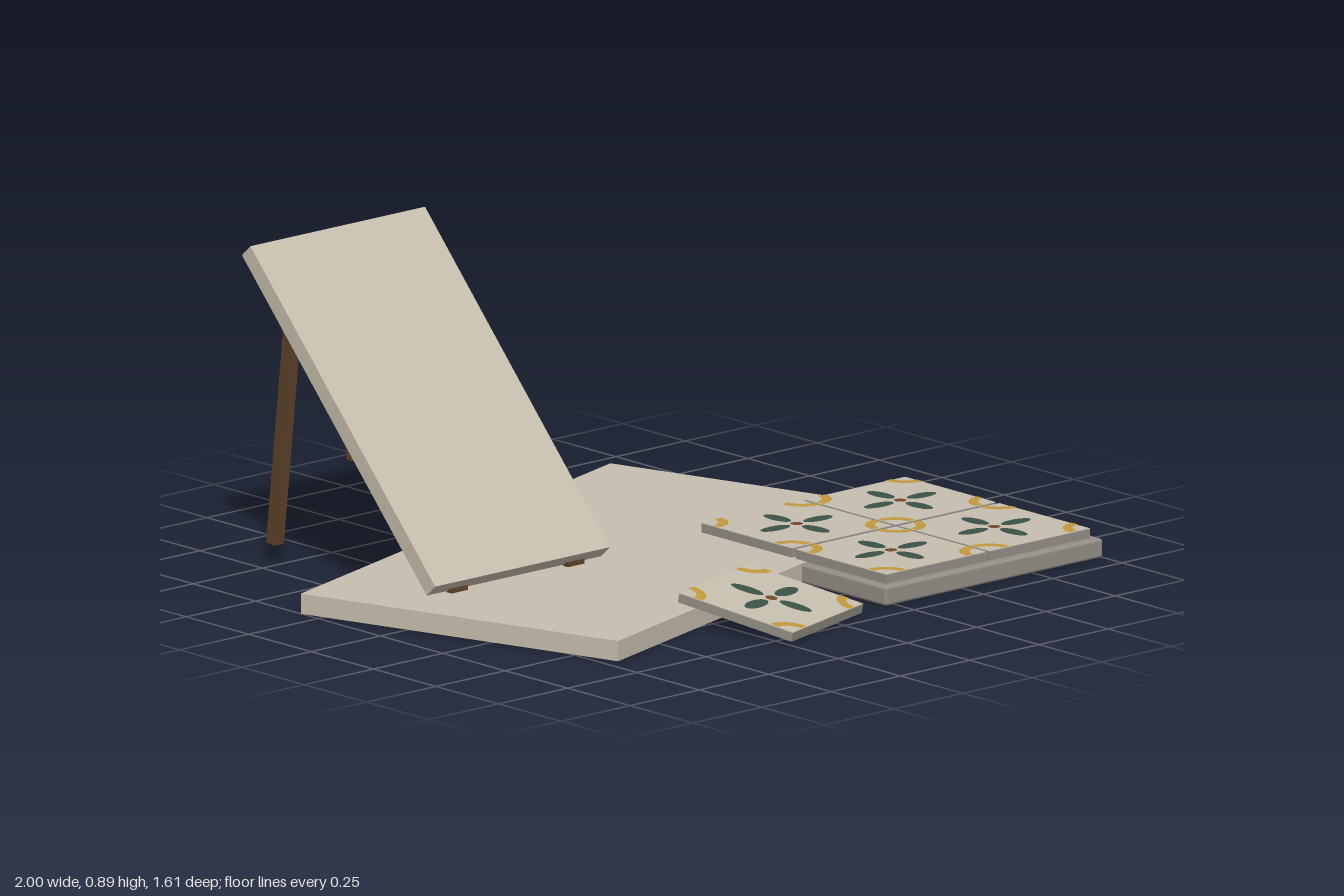
import * as THREE from 'three';
import { RoundedBoxGeometry } from 'three/addons/geometries/RoundedBoxGeometry.js';

const mat = (name, color) => {
  const m = new THREE.MeshStandardMaterial({ color });
  m.name = name;
  return m;
};

export function createModel() {
  const stone = mat('cream stone', 0xc6beae);
  const mortar = mat('grey mortar', 0x948f87);
  const green = mat('leaf green', 0x3b5146);
  const ochre = mat('ochre', 0xc1983f);
  const brown = mat('brown dot', 0x70492a);
  const wood = mat('dark wood', 0x5c4329);

  const model = new THREE.Group();
  model.name = 'tileDisplay';

  const add = (parent, name, geometry, material, x = 0, y = 0, z = 0) => {
    const mesh = new THREE.Mesh(geometry, material);
    mesh.name = name;
    mesh.position.set(x, y, z);
    parent.add(mesh);
    return mesh;
  };
  const box = (w, h, d) => new THREE.BoxGeometry(w, h, d);

  // Large slab lying flat, turned a little
  const slab = add(model, 'baseSlab', box(1.62, 0.056, 0.99), stone, -0.08, 0.028, -0.085);
  slab.rotation.y = 0.3;

  // Mortar bed under the four laid tiles
  add(model, 'mortarBed', new RoundedBoxGeometry(0.785, 0.053, 0.785, 2, 0.008), mortar, 0.605, 0.0275, 0.285);

  // Patterned tile: grey body, cream face, four leaves, centre dot and corner arcs
  const size = 0.362, half = size / 2, top = 0.0135;
  const flat = (g) => g.rotateX(-Math.PI / 2);
  const bodyGeo = box(size, 0.025, size);
  const faceGeo = box(size, 0.002, size);
  const leafGeo = flat(new THREE.CircleGeometry(1, 20).scale(0.05, 0.0225, 1).translate(0.077, 0, 0));
  const dotGeo = flat(new THREE.CircleGeometry(0.017, 16));
  const arcGeo = flat(new THREE.RingGeometry(0.046, 0.073, 12, 1, Math.PI, Math.PI / 2).translate(half, half, 0));

  function makeTile(name, x, y, z) {
    const tile = new THREE.Group();
    tile.name = name;
    tile.position.set(x, y, z);
    add(tile, 'tileBody', bodyGeo, mortar, 0, -0.001, 0);
    add(tile, 'tileFace', faceGeo, stone, 0, top - 0.001, 0);
    add(tile, 'centreDot', dotGeo, brown, 0, top + 0.0015, 0);
    for (let k = 0; k < 4; k++) {
      add(tile, 'leaf', leafGeo, green, 0, top + 0.0015, 0).rotation.y = k * Math.PI / 2;
      add(tile, 'cornerArc', arcGeo, ochre, 0, top + 0.0015, 0).rotation.y = k * Math.PI / 2;
    }
    model.add(tile);
    return tile;
  }

  for (const x of [0.416, 0.789])
    for (const z of [0.095, 0.473]) makeTile('laidTile', x, 0.069, z);

  // Loose tile with its rear edge propped on the slab
  const loose = makeTile('looseTile', -0.113, 0.049, 0.578);
  loose.rotation.order = 'YXZ';
  loose.rotation.set(0.17, 0.29, 0);

  // Leaning panel
  const panel = add(model, 'leaningPanel', box(0.63, 1.09, 0.046), stone, -0.46, 0.476, -0.4175);
  panel.rotation.x = -Math.atan2(0.74, 0.8);

  // Easel: rear legs, crossbar and small stops under the panel
  const lean = Math.atan2(0.075, 0.665);
  for (const side of [-1, 1]) {
    const leg = add(model, 'easelLeg', box(0.034, 0.665, 0.034), wood, -0.456 + side * 0.235, 0.387, -0.728);
    leg.rotation.x = lean;
    add(model, 'panelStop', box(0.06, 0.014, 0.02), wood, -0.46 + side * 0.21, 0.061, -0.058);
  }
  add(model, 'easelCrossbar', box(0.54, 0.034, 0.02), wood, -0.456, 0.373, -0.43);

  return model;
}
